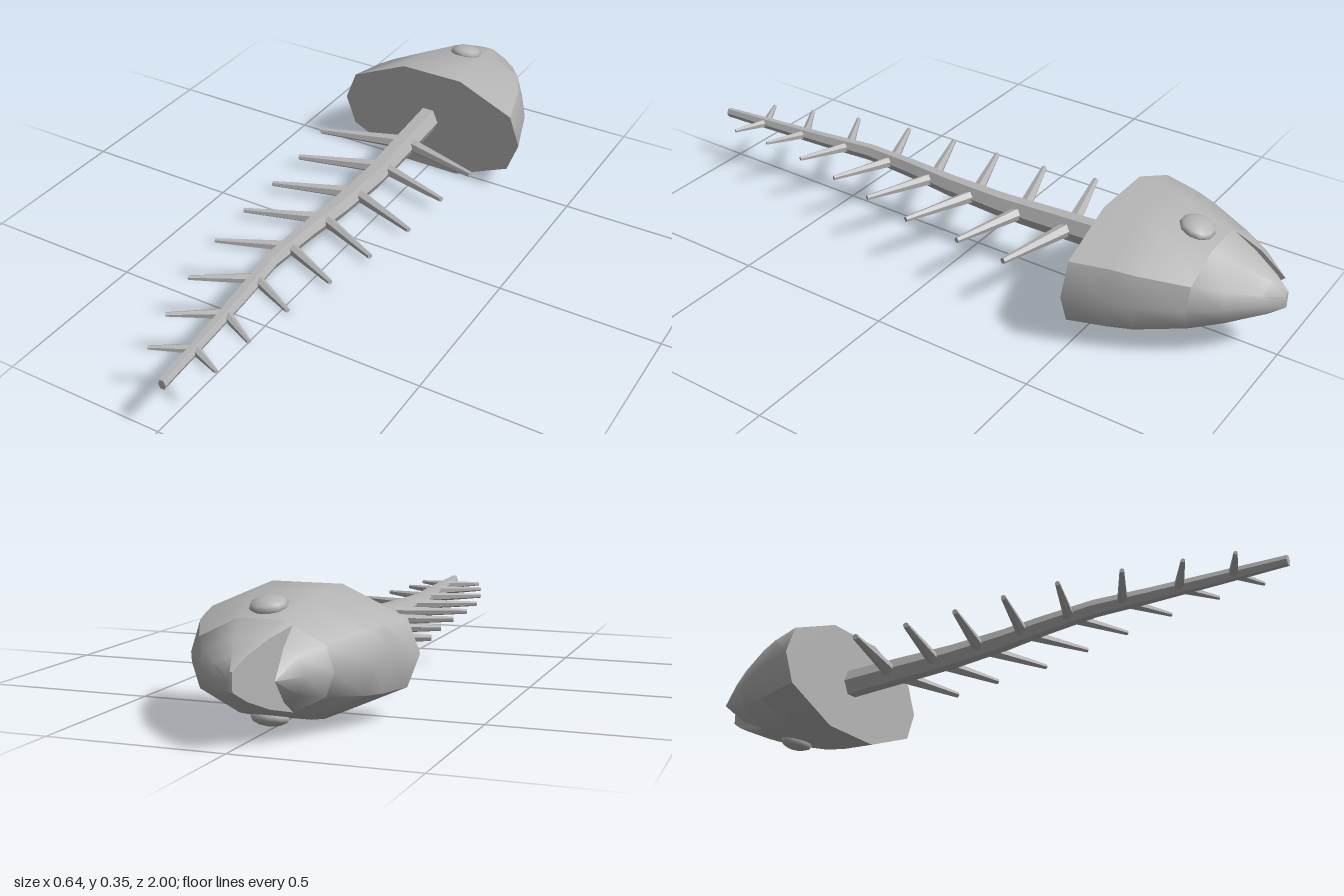
import * as THREE from 'three';
import { toCreasedNormals } from 'three/addons/utils/BufferGeometryUtils.js';

const MID = 0.178; // height of the fish's centre line

// Piecewise linear lookup in rows of [key, value, value...], keys ascending
function lookup(rows, key, col = 1) {
  if (key <= rows[0][0]) return rows[0][col];
  for (let i = 1; i < rows.length; i++) {
    const a = rows[i - 1], b = rows[i];
    if (key <= b[0]) return a[col] + (b[col] - a[col]) * (key - a[0]) / (b[0] - a[0]);
  }
  return rows[rows.length - 1][col];
}

// Closed skin over rings of [x, y, z], ordered from +z to -z, counterclockwise seen from +z
function loft(rings, crease) {
  const n = rings[0].length, last = (rings.length - 1) * n, index = [];
  for (let i = 0; i < rings.length - 1; i++) {
    for (let j = 0; j < n; j++) {
      const a = i * n + j, b = i * n + (j + 1) % n;
      index.push(a, a + n, b, b, a + n, b + n);
    }
  }
  for (let j = 1; j < n - 1; j++) {
    index.push(0, j, j + 1);
    index.push(last, last + j + 1, last + j);
  }
  const geo = new THREE.BufferGeometry();
  geo.setAttribute('position', new THREE.Float32BufferAttribute(rings.flat(2), 3));
  geo.setIndex(index);
  return toCreasedNormals(geo, crease);
}

// Head outline: z, left edge, right edge, half height
const HEAD = [
  [-1.0, -0.03, -0.005, 0.025],
  [-0.955, -0.11, 0.06, 0.055],
  [-0.88, -0.155, 0.13, 0.09],
  [-0.8, -0.2, 0.19, 0.122],
  [-0.67, -0.262, 0.26, 0.158],
  [-0.6, -0.288, 0.283, 0.17],
  [-0.49, -0.32, 0.32, 0.175],
];
// Ten sided cross-section: position across, relative height
const SECTION = [[-1, 0], [-0.89, 0.53], [-0.32, 1], [0.32, 1], [0.89, 0.55], [1, 0]];

// One head ring, cut off to the range from lo to hi in x
function headRing(z, lo = -9, hi = 9) {
  const l = lookup(HEAD, z, 1), r = lookup(HEAD, z, 2), h = lookup(HEAD, z, 3);
  const mid = (l + r) / 2, half = (r - l) / 2;
  const edge = SECTION.map(([t]) => {
    const x = Math.min(hi, Math.max(lo, mid + t * half));
    return [x, h * lookup(SECTION, (x - mid) / half)];
  });
  return [
    ...edge.map(([x, y]) => [x, MID - y, z]),
    ...edge.reverse().map(([x, y]) => [x, MID + y, z]),
  ];
}

// Spine: z, centre x, half width, half height
const SPINE = [
  [-0.52, -0.01, 0.037, 0.041],
  [-0.3, 0.0, 0.036, 0.037],
  [-0.1, 0.01, 0.033, 0.033],
  [0.1, 0.003, 0.03, 0.029],
  [0.25, -0.012, 0.026, 0.026],
  [0.43, -0.022, 0.023, 0.023],
  [0.6, -0.003, 0.021, 0.02],
  [0.8, 0.014, 0.017, 0.017],
  [1.0, 0.03, 0.012, 0.014],
];

// Rib pairs: root z, right tip x and z, left tip x and z
const RIBS = [
  [-0.33, -0.275, -0.252, 0.262, -0.264],
  [-0.165, -0.25, -0.08, 0.248, -0.095],
  [0.005, -0.238, 0.09, 0.24, 0.095],
  [0.17, -0.232, 0.255, 0.208, 0.265],
  [0.34, -0.216, 0.425, 0.173, 0.425],
  [0.515, -0.178, 0.608, 0.14, 0.59],
  [0.685, -0.133, 0.77, 0.123, 0.75],
  [0.845, -0.09, 0.903, 0.118, 0.89],
];

export function createModel() {
  const model = new THREE.Group();
  const bone = new THREE.MeshStandardMaterial({ color: 0xb4b4b4 });
  bone.name = 'bone grey';
  const add = (name, geo, parent = model) => {
    const mesh = new THREE.Mesh(geo, bone);
    mesh.name = name;
    parent.add(mesh);
    return mesh;
  };

  // Skull and the two jaws either side of the open mouth
  const head = new THREE.Group();
  head.name = 'head';
  model.add(head);
  add('skull', loft([-0.49, -0.6, -0.67, -0.8].map((z) => headRing(z)), 0.75), head);
  const notch = [-0.09, -0.8];
  const cut = (z, tipX, tipZ) => notch[0] + (tipX - notch[0]) * (z - notch[1]) / (tipZ - notch[1]);
  add('largeJaw', loft([-0.8, -0.88, -0.955, -1].map((z) => headRing(z, cut(z, -0.02, -1))), 0.75), head);
  add('smallJaw', loft([-0.8, -0.88, -0.955].map((z) => headRing(z, -9, cut(z, -0.11, -0.955))), 0.75), head);

  // Flattened eyes on both faces of the head
  for (const side of [1, -1]) {
    const eye = add(side > 0 ? 'upperEye' : 'lowerEye', new THREE.SphereGeometry(0.052, 10, 6), head);
    eye.scale.y = 0.45;
    eye.position.set(0.005, MID + side * 0.146, -0.73);
    eye.rotation.x = -side * 0.24;
  }

  // Curved, tapering six sided spine
  const spineRings = [...SPINE].reverse().map(([z, x, w, h]) =>
    [0, 1, 2, 3, 4, 5].map((k) => {
      const a = k * Math.PI / 3;
      return [x + w * Math.cos(a), MID + h * Math.sin(a) / Math.sin(Math.PI / 3), z];
    }));
  add('spine', loft(spineRings, 0.5));

  // Tapered ribs swept towards the tail
  const up = new THREE.Vector3(0, 1, 0);
  const ribs = new THREE.Group();
  ribs.name = 'ribs';
  model.add(ribs);
  RIBS.forEach(([z, rx, rz, lx, lz], i) => {
    const size = 1 - i * 0.055;
    for (const [name, x, tipZ] of [['rightRib', rx, rz], ['leftRib', lx, lz]]) {
      const root = new THREE.Vector3(lookup(SPINE, z), MID, z);
      const tip = new THREE.Vector3(x, MID, tipZ);
      const dir = tip.clone().sub(root);
      const geo = new THREE.CylinderGeometry(0.0095 * size, 0.023 * size, dir.length(), 6);
      const rib = add(name, toCreasedNormals(geo, 0.5), ribs);
      rib.position.copy(root).add(tip).multiplyScalar(0.5);
      rib.quaternion.setFromUnitVectors(up, dir.normalize());
    }
  });

  return model;
}
